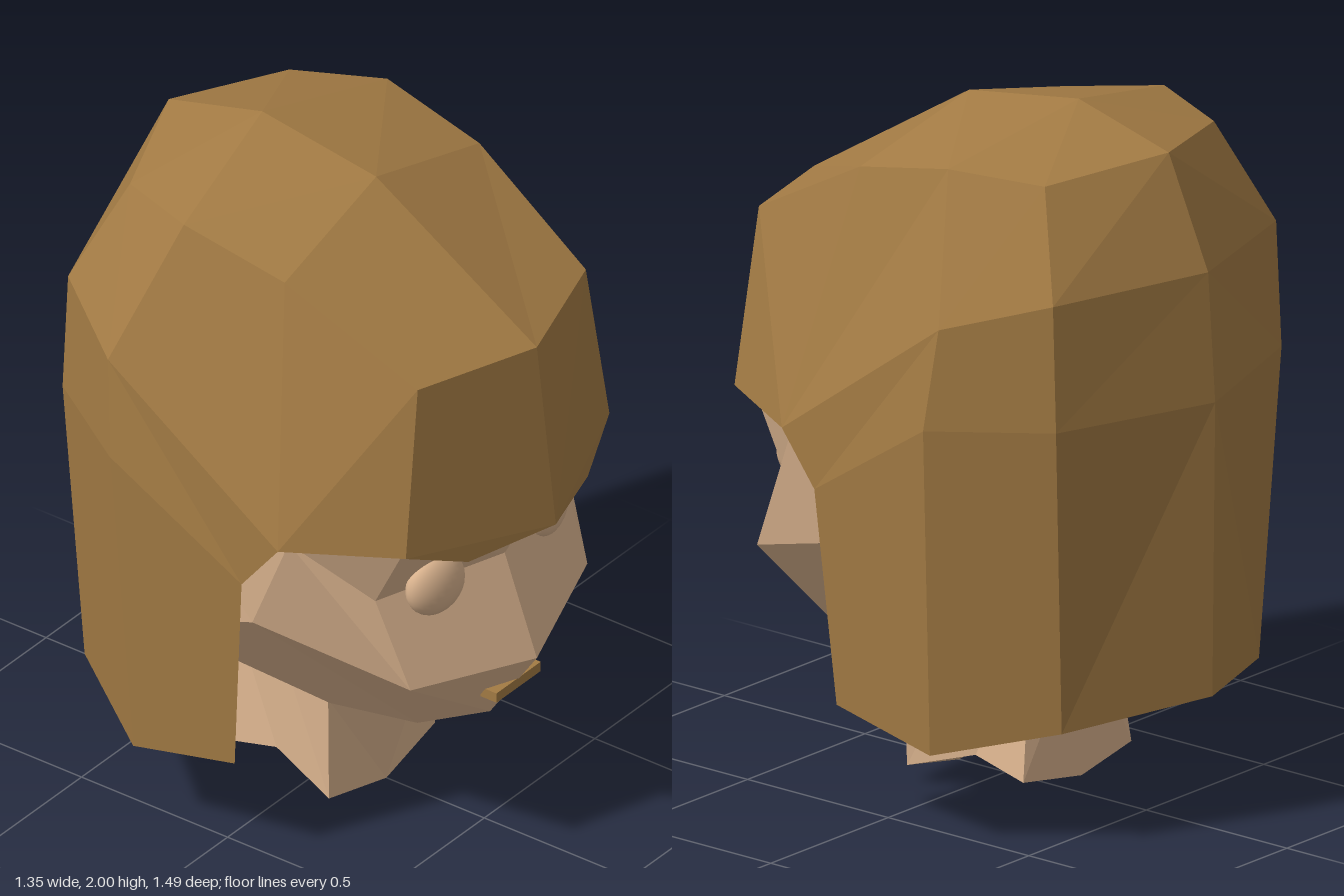
import * as THREE from 'three';

const skin = new THREE.MeshStandardMaterial({ color: 0xdbb48f });
skin.name = 'skin';
const hairBrown = new THREE.MeshStandardMaterial({ color: 0xa37b44, side: THREE.DoubleSide });
hairBrown.name = 'hairBrown';

// Faceted surface from the +x half: polygons are fanned and mirrored across x.
function mirroredMesh(name, points, polygons, material) {
  const pos = [];
  const add = (p, side) => pos.push(p[0] * side, p[1], p[2]);
  for (const poly of polygons) {
    for (let i = 1; i < poly.length - 1; i++) {
      const [a, b, c] = [poly[0], poly[i], poly[i + 1]].map((k) => points[k]);
      add(a, 1); add(b, 1); add(c, 1);
      add(a, -1); add(c, -1); add(b, -1);
    }
  }
  const geo = new THREE.BufferGeometry();
  geo.setAttribute('position', new THREE.Float32BufferAttribute(pos, 3));
  geo.computeVertexNormals();
  const mesh = new THREE.Mesh(geo, material);
  mesh.name = name;
  return mesh;
}

function makeHair() {
  const p = [
    [0, 1.05, 0.745], [0.27, 1.03, 0.65], [0.46, 1.11, 0.58],   // 0-2 fringe hem
    [0, 1.6, 0.68], [0.38, 1.61, 0.56],                         // 3-4 fringe top
    [0, 1.94, 0.13], [0.44, 1.83, 0.15],                        // 5-6 crown front
    [0, 2, -0.26], [0.46, 1.9, -0.18],                          // 7-8 crown
    [0, 1.915, -0.58], [0.36, 1.88, -0.44],                     // 9-10 crown back
    [0.645, 1.51, -0.3], [0.63, 1.1, 0.27],                     // 11-12 temple
    [0.675, 1.22, -0.27], [0.635, 0.95, 0.15],                  // 13-14 ear level
    [0.61, 0.26, -0.24], [0.6, 0.33, 0.1],                      // 15-16 side hem
    [0, 1.6, -0.72], [0.475, 1.59, -0.565],                     // 17-18 upper back
    [0, 1.23, -0.745], [0.48, 1.23, -0.58],                     // 19-20 middle back
    [0, 0.38, -0.735], [0.42, 0.34, -0.55],                     // 21-22 back hem
  ];
  return mirroredMesh('hair', p, [
    [0, 1, 2, 4, 3],
    [3, 4, 6, 5], [5, 6, 8, 7], [7, 8, 10, 9],
    [12, 11, 8, 6, 4, 2], [14, 13, 11, 12], [16, 15, 13, 14],
    [11, 18, 10, 8], [13, 20, 18, 11], [15, 22, 20, 13],
    [18, 17, 9, 10], [20, 19, 17, 18], [22, 21, 19, 20],
  ], hairBrown);
}

function makeHead() {
  const p = [
    [0, 0.355, 0.52], [0.21, 0.39, 0.43],                       // 0-1 chin
    [0, 0.59, 0.68], [0.4, 0.64, 0.55],                         // 2-3 muzzle
    [0, 0.89, 0.57], [0.42, 0.9, 0.445],                        // 4-5 eye line
    [0, 1.12, 0.65], [0.42, 1.1, 0.545],                        // 6-7 brow
    [0.56, 0.78, 0.13], [0.58, 1.1, 0.27],                      // 8-9 cheek
    [0.25, 0.37, 0.16], [0, 0.34, 0.22],                        // 10-11 throat
    [0.56, 0.65, -0.24], [0.4, 0.6, -0.52], [0, 0.6, -0.69],    // 12-14 skull base
    [0.2, 0.45, -0.25], [0, 0.48, -0.3],                        // 15-16 nape
    [0, 1.85, -0.2],                                            // 17 skull top
    [0.57, 1.2, -0.25], [0.4, 1.2, -0.5], [0, 1.2, -0.68],      // 18-20 skull middle
  ];
  return mirroredMesh('head', p, [
    [0, 1, 3, 2], [2, 3, 5, 4], [4, 5, 7, 6],
    [1, 10, 8, 3], [3, 8, 9, 5], [5, 9, 7], [0, 11, 10, 1],
    [10, 15, 12, 8], [15, 13, 12], [15, 16, 14, 13],
    [8, 12, 18, 9], [12, 13, 19, 18], [13, 14, 20, 19],
    [6, 7, 17], [7, 9, 17], [9, 18, 17], [18, 19, 17], [19, 20, 17],
  ], skin);
}

function makeNeck() {
  const bottom = [[0, 0, 0.165], [0.24, 0.05, 0.15], [0.2, 0.115, -0.06], [0.23, 0.085, -0.255], [0, 0.05, -0.27]];
  const top = [[0, 0.36, 0.215], [0.25, 0.38, 0.155], [0.2, 0.45, -0.05], [0.17, 0.48, -0.23], [0, 0.5, -0.28]];
  const polygons = [];
  for (let i = 0; i < 4; i++) {
    polygons.push([i, i + 1, i + 6, i + 5], [i, 10, i + 1]);
  }
  return mirroredMesh('neck', [...bottom, ...top, [0, 0.14, -0.05]], polygons, skin);
}

export function createModel() {
  const model = new THREE.Group();
  model.name = 'longHairedHead';
  model.add(makeHead(), makeNeck(), makeHair());

  // Flattened round eyes that follow the slope of the face
  for (const side of [1, -1]) {
    const eye = new THREE.Mesh(new THREE.SphereGeometry(0.095, 24, 16), skin);
    eye.name = side > 0 ? 'leftEye' : 'rightEye';
    eye.scale.z = 0.53;
    eye.rotation.y = side * 0.28;
    eye.position.set(side * 0.255, 0.905, 0.525);
    model.add(eye);
  }

  // Thin mouth bar
  const mouth = new THREE.Mesh(new THREE.BoxGeometry(0.2, 0.03, 0.055), hairBrown);
  mouth.name = 'mouth';
  mouth.position.set(0, 0.487, 0.59);
  model.add(mouth);
  return model;
}
